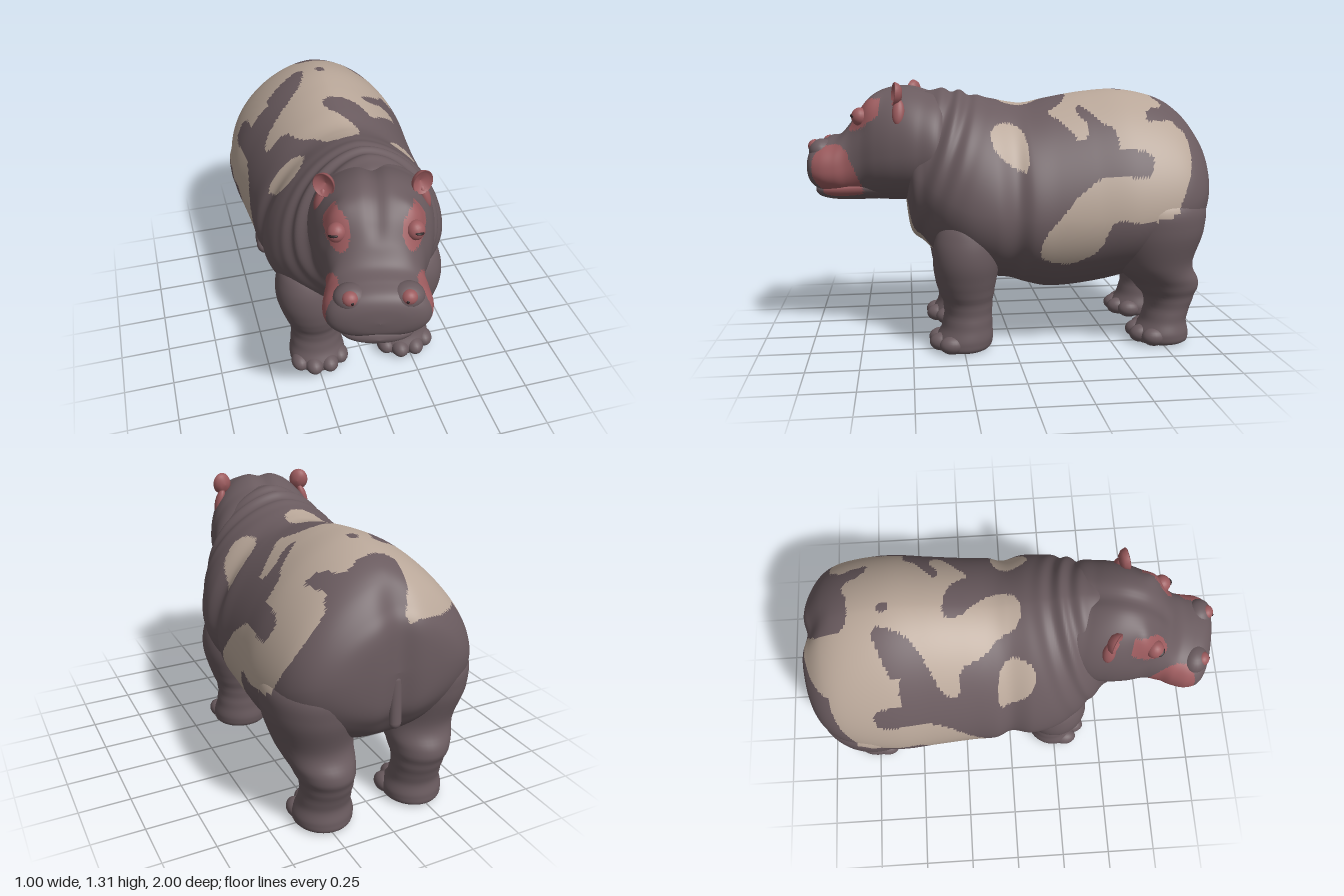
import * as THREE from 'three';

const mat = (name, color, side = THREE.FrontSide) => {
  const m = new THREE.MeshStandardMaterial({ color, side });
  m.name = name;
  return m;
};
const { smoothstep } = THREE.MathUtils;
const bump = (v, width) => Math.exp(-((v / width) ** 2));

// Catmull-Rom through the rows of a table, every column at once
function sample(rows, t) {
  const n = rows.length - 1, f = Math.min(t, 0.999999) * n, i = Math.floor(f), s = f - i;
  const [a, b, c, d] = [-1, 0, 1, 2].map(k => rows[Math.min(n, Math.max(0, i + k))]);
  return b.map((q, k) => q + 0.5 * s * (c[k] - a[k] + s * (2 * a[k] - 5 * q + 4 * c[k] - d[k] + s * (3 * (q - c[k]) + d[k] - a[k]))));
}

// Closed-ring skin; pick(x, y, z) chooses the material group of each face
function skin(nu, nv, point, pick) {
  const pos = [], groups = [[], []];
  for (let i = 0; i <= nu; i++) for (let j = 0; j < nv; j++) pos.push(...point(i / nu, (j / nv) * Math.PI * 2));
  for (let i = 0; i < nu; i++) for (let j = 0; j < nv; j++) {
    const a = i * nv + j, c = i * nv + (j + 1) % nv, b = a + nv, d = c + nv;
    for (const tri of [[a, c, b], [c, d, b]]) {
      const mid = [0, 1, 2].map(k => tri.reduce((s, v) => s + pos[v * 3 + k], 0) / 3);
      groups[pick(...mid)].push(...tri);
    }
  }
  const g = new THREE.BufferGeometry();
  g.setAttribute('position', new THREE.Float32BufferAttribute(pos, 3));
  g.setIndex([...groups[0], ...groups[1]]);
  g.addGroup(0, groups[0].length, 0);
  g.addGroup(groups[0].length, groups[1].length, 1);
  g.computeVertexNormals();
  return g;
}

// Round off the corners of a closed outline
const rounded = poly => poly.flatMap(([x, y], i) => {
  const [u, v] = poly[(i + 1) % poly.length];
  return [[.75 * x + .25 * u, .75 * y + .25 * v], [.25 * x + .75 * u, .25 * y + .75 * v]];
});

function inside(poly, x, y) {
  let hit = false;
  for (let i = 0, j = poly.length - 1; i < poly.length; j = i++) {
    const [xi, yi] = poly[i], [xj, yj] = poly[j];
    if ((yi > y) !== (yj > y) && x < ((xj - xi) * (y - yi)) / (yj - yi) + xi) hit = !hit;
  }
  return hit;
}

const spow = (v, p) => Math.sign(v) * Math.abs(v) ** p;
// Row: z, half width, top, bottom, height of widest point, squareness
const ringAt = ([z, w, top, bot, mid, p], a) => {
  const s = spow(Math.sin(a), p);
  return [w * spow(Math.cos(a), p), mid + s * (s > 0 ? top - mid : mid - bot), z];
};

const bodyRows = [
  [-1.0, .0005, .79, .789, .79], [-.985, .23, .98, .62, .79], [-.94, .36, 1.07, .53, .77],
  [-.86, .44, 1.165, .44, .74], [-.74, .482, 1.23, .38, .7], [-.56, .5, 1.265, .31, .67],
  [-.38, .483, 1.255, .27, .66], [-.2, .468, 1.225, .255, .66], [-.08, .465, 1.2, .28, .66],
  [0, .437, 1.205, .305, .67], [.1, .458, 1.225, .32, .68], [.22, .438, 1.25, .35, .7],
  [.33, .38, 1.27, .41, .75], [.43, .3, 1.25, .5, .82], [.5, .23, 1.17, .58, .86], [.53, .0005, .87, .869, .87]];

const headRows = [
  [.25, .0005, .97, .969, .97, 1], [.28, .25, 1.2, .74, .97, 1], [.4, .287, 1.265, .72, .97, .97],
  [.52, .28, 1.295, .715, .96, .95], [.62, .255, 1.275, .715, .95, .93], [.7, .222, 1.215, .72, .93, .92],
  [.77, .212, 1.125, .73, .89, .9], [.83, .226, 1.055, .74, .88, .88], [.9, .232, 1.03, .75, .88, .88],
  [.96, .205, 1.005, .775, .885, .9], [.99, .13, .96, .82, .89, .95], [1.0, .0005, .89, .889, .89, 1]];

const jawRows = [
  [.5, .0005, .78, .779, .78, 1], [.54, .16, .84, .73, .79, 1], [.7, .18, .84, .715, .79, .95],
  [.84, .185, .83, .712, .78, .95], [.92, .155, .82, .722, .77, .95], [.96, .1, .8, .74, .77, 1], [.975, .0005, .77, .769, .77, 1]];

// Row: y, x, z, half width, half depth
const frontLegRows = [
  [0, .235, .25, .0005, .0005], [.004, .235, .25, .125, .12], [.05, .235, .245, .146, .143], [.12, .235, .23, .135, .125],
  [.22, .235, .225, .13, .12], [.33, .25, .235, .15, .145], [.45, .268, .235, .163, .162],
  [.56, .28, .23, .145, .155], [.65, .275, .22, .11, .11], [.72, .26, .21, .0005, .0005]];
const hindLegRows = [
  [0, .24, -.76, .0005, .0005], [.004, .24, -.76, .12, .125], [.05, .24, -.76, .143, .14], [.12, .24, -.775, .125, .115],
  [.22, .24, -.797, .122, .123], [.31, .25, -.775, .145, .168], [.42, .265, -.7, .18, .2],
  [.6, .285, -.695, .21, .25], [.75, .28, -.69, .19, .235], [.9, .26, -.7, .0005, .0005]];

// Pale patches: flanks (z, y), back (x, z), throat (x, y)
const shoulderSpot = rounded([[.125, 1.06], [.085, 1.115], [-.01, 1.11], [-.06, 1.05], [-.06, .89], [.005, .905], [.09, .97]]);
const flankPatch = rounded([
  [-.48, 1.23], [-.51, 1.08], [-.53, 1.0], [-.65, .98], [-.64, .88], [-.58, .865], [-.42, .885], [-.3, .81], [-.2, .69],
  [-.12, .6], [-.1, .5], [-.14, .47], [-.24, .445], [-.33, .48], [-.39, .53], [-.43, .65], [-.48, .68], [-.56, .655],
  [-.74, .68], [-.79, .78], [-.84, .9], [-.85, 1.05], [-.78, 1.11], [-.72, 1.23]]);
const backPatch = rounded([
  [-.14, -.96], [-.02, -.965], [-.085, -.87], [-.085, -.73], [.05, -.72], [.16, -.77], [.21, -.66], [.3, -.64], [.31, -.76],
  [.38, -.83], [.48, -.72], [.48, -.58], [.43, -.49], [.32, -.49], [.28, -.41], [.16, -.34], [.19, -.3], [.31, -.37],
  [.35, -.31], [.27, -.25], [.17, -.16], [.15, -.23], [.08, -.28], [-.04, -.3], [-.06, -.23], [.03, -.13], [.07, -.05],
  [.05, .06], [-.1, .06], [-.14, -.05], [-.21, -.11], [-.26, -.24], [-.36, -.23], [-.35, -.32], [-.2, -.4], [-.11, -.48],
  [-.07, -.63], [-.24, -.57], [-.39, -.49], [-.42, -.55], [-.41, -.72], [-.49, -.75], [-.42, -.84], [-.31, -.91]]);
const throatPatch = rounded([[-.15, .75], [.15, .75], [.155, .58], [.13, .5], [.11, .45], [.05, .47], [0, .44], [-.07, .46], [-.08, .52], [-.14, .58]]);
const spotted = (x, y, z) => +(
  (y < 1.12 && inside(flankPatch, z, y)) || inside(shoulderSpot, z, y) ||
  (y > 1.0 && inside(backPatch, x, z) && Math.hypot(x - .005, z + .56) > .026) ||
  (z > .25 && y < .74 && inside(throatPatch, x, y)));

// Pink areas: sides of the muzzle (z, y) and rings round the eyes
const lipPatch = rounded([[.93, .97], [.87, 1.01], [.78, 1.0], [.73, .89], [.69, .78], [.71, .7], [.86, .69], [.91, .78], [.945, .87]]);
const flushed = (x, y, z) => +(
  (Math.abs(x) > .165 && inside(lipPatch, z, y)) ||
  (z > .6 && Math.hypot((Math.abs(x) - .165) / .055, (y - 1.15) / .078) < 1));

export function createModel() {
  const hide = mat('hide', 0x6a5b5f), pale = mat('pale patch', 0xb9a799);
  const pink = mat('pink skin', 0x9c5b5e, THREE.DoubleSide);
  const dark = mat('dark', 0x2b2224);
  const root = new THREE.Group();
  const add = (parent, name, geo, m, p = [0, 0, 0], s = [1, 1, 1], r = [0, 0, 0]) => {
    const mesh = new THREE.Mesh(geo, m);
    mesh.name = name;
    mesh.position.set(...p); mesh.scale.set(...s); mesh.rotation.set(...r);
    parent.add(mesh);
  };
  const ball = new THREE.SphereGeometry(1, 20, 14);

  // Body with slanted neck folds and a cleft between the haunches
  add(root, 'body', skin(210, 168, (u, a) => {
    let [x, y, z] = ringAt([...sample(bodyRows, u), Math.sin(a) > 0 ? 1.14 : 1], a);
    const s = z + .35 * (y - 1), fade = bump(s - .34, .1) * smoothstep(y, .5, .8);
    const k = 1 + .025 * fade * Math.sin(s * 62);
    if (z < -.8) z += .03 * bump(x, .07) * smoothstep(-z, .8, .97);
    return [x * k, .8 + (y - .8) * k, z];
  }, spotted), [hide, pale]);

  // Legs with skin wrinkles, and four toes on each foot
  for (const [name, rows, front] of [['frontLeg', frontLegRows, .265], ['hindLeg', hindLegRows, -.745]]) {
    for (const side of [1, -1]) {
      const leg = new THREE.Group();
      leg.name = name + (side > 0 ? 'Left' : 'Right');
      root.add(leg);
      add(leg, 'limb', skin(60, 44, (u, a) => {
        const [y, cx, cz, rx, rz] = sample(rows, u);
        const k = 1 + .012 * Math.sin(y * 95) * bump(y - .23, .1);
        return [side * cx + rx * k * Math.cos(a), Math.max(0, y), cz - rz * k * Math.sin(a)];
      }, spotted), [hide, pale]);
      [-.105, -.04, .04, .105].forEach((dx, i) => {
        const middle = i === 1 || i === 2;
        add(leg, 'toe', ball, hide, [side * .235 + dx, .045, front + (middle ? .092 : .045)], [.047, .045, .062]);
      });
    }
  }

  // Tail
  add(root, 'tail', new THREE.CapsuleGeometry(.028, .2, 8, 16), hide, [0, .65, -.955], [1, 1, .8], [.06, 0, 0]);

  // Head, turned a little to its right
  const head = new THREE.Group(), inner = new THREE.Group();
  head.name = 'head';
  inner.name = 'headParts';
  head.position.z = .4; head.rotation.y = -.22;
  inner.position.z = -.4;
  head.add(inner); root.add(head);
  add(inner, 'skull', skin(110, 104, (u, a) => {
    const [x, y, z] = ringAt(sample(headRows, u), a);
    // groove along the crown, brow ridges, and a lifted middle of the upper lip
    const crown = -.02 * bump(x, .04) * smoothstep(y, 1.1, 1.2) * smoothstep(z, .3, .4);
    const brow = bump(Math.abs(x) - .15, .06) * bump(z - .67, .06) * smoothstep(y, 1.05, 1.17);
    const lip = .025 * smoothstep(z, .78, .86) * bump(x, .08) * smoothstep(-y, -.84, -.76);
    return [x * (1 + .1 * brow), y + crown + .025 * brow + lip, z];
  }, flushed), [hide, pink]);
  add(inner, 'lowerJaw', skin(50, 64, (u, a) => ringAt(sample(jawRows, u), a), flushed), [hide, pink]);

  // Cupped ear profile
  const cup = new THREE.LatheGeometry(
    [[0, -.03], [.025, -.027], [.043, -.012], [.05, .01], [.046, .014], [.036, -.002], [0, -.014]].map(p => new THREE.Vector2(...p)), 28);
  cup.rotateX(Math.PI / 2);

  for (const side of [1, -1]) {
    // Eyelid and eye
    add(inner, 'eyelid', ball, pink, [side * .165, 1.14, .705], [.042, .045, .042], [0, 0, side * .25]);
    add(inner, 'eye', ball, dark, [side * .178, 1.145, .732], [.024, .008, .018], [0, side * .5, side * -.2]);
    // Nostril
    add(inner, 'nostrilMound', ball, hide, [side * .115, .968, .915], [.075, .06, .065]);
    add(inner, 'nostrilSkin', ball, pink, [side * .12, .99, .95], [.036, .034, .034]);
    add(inner, 'nostrilHole', ball, dark, [side * .112, .988, .98], [.007, .008, .007]);
    // Ear
    add(inner, 'ear', cup, pink, [side * .208, 1.252, .515], [1, 1.15, 1], [-.1, side * .4, side * -.15]);
    add(inner, 'earBase', ball, pink, [side * .228, 1.165, .5], [.024, .065, .03], [0, 0, side * .3]);
  }
  return root;
}
